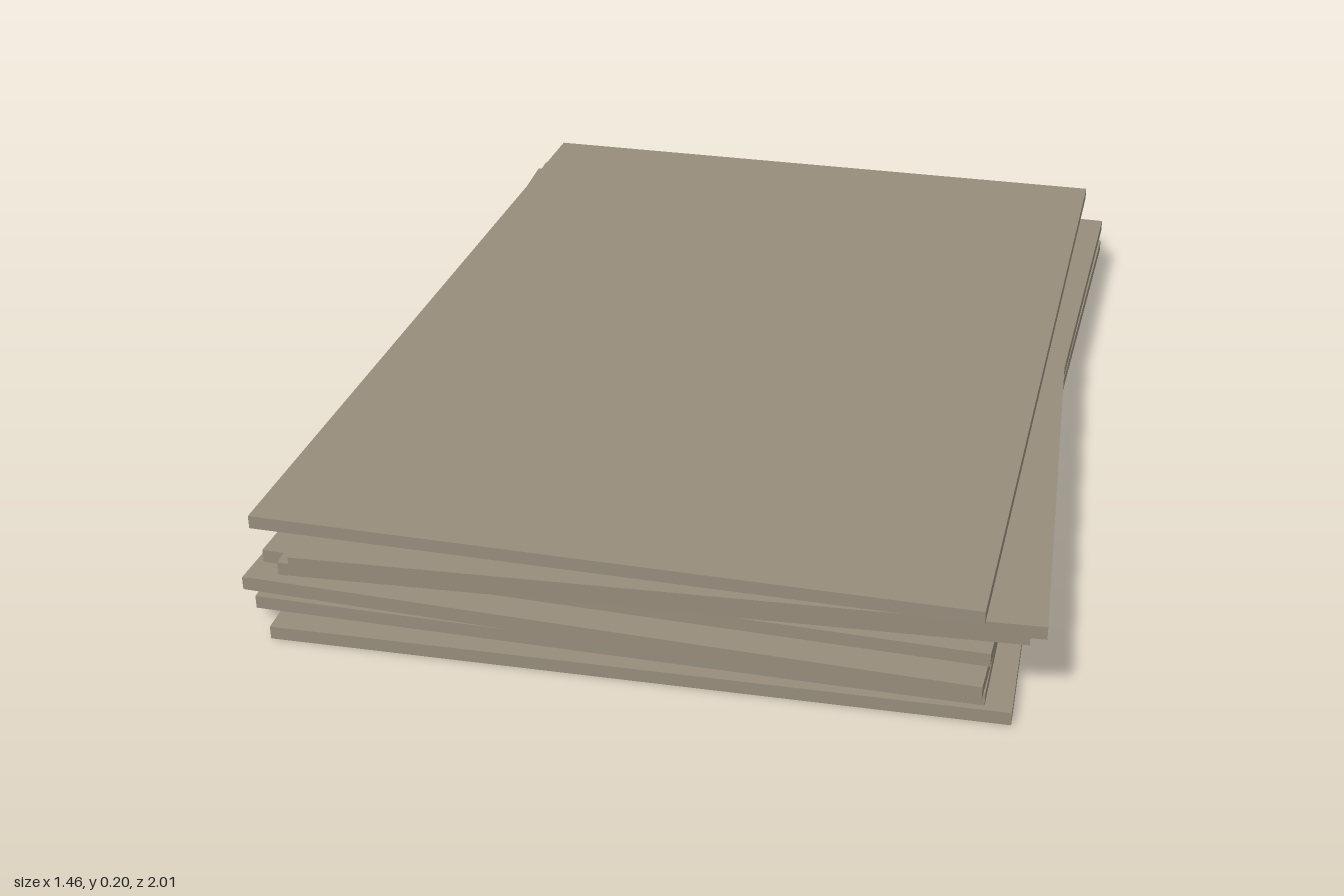
import * as THREE from 'three';

// Stack of eight thin slabs, each slightly shifted and turned.
const WIDTH = 1.337, LENGTH = 1.895, THICK = 0.0255;

// [x, z, turn about y], bottom to top
const SLABS = [
  [-0.0035, 0.027, 0.0165],
  [-0.0225, -0.005, -0.014],
  [-0.024, 0, -0.0455],
  [0.003, 0.032, -0.042],
  [0.005, -0.027, -0.0375],
  [-0.0125, -0.011, 0.046],
  [0.015, 0.005, 0.048],
  [-0.025, -0.0275, -0.0213],
];

export function createModel() {
  const group = new THREE.Group();
  group.name = 'slabStack';
  const material = new THREE.MeshStandardMaterial({ color: 0x978d7c });
  material.name = 'greyBeige';
  const geometry = new THREE.BoxGeometry(WIDTH, THICK, LENGTH);

  SLABS.forEach(([x, z, turn], i) => {
    const slab = new THREE.Mesh(geometry, material);
    slab.name = `slab${i + 1}`;
    slab.position.set(x, THICK * (i + 0.5), z);
    slab.rotation.y = turn;
    group.add(slab);
  });
  return group;
}
